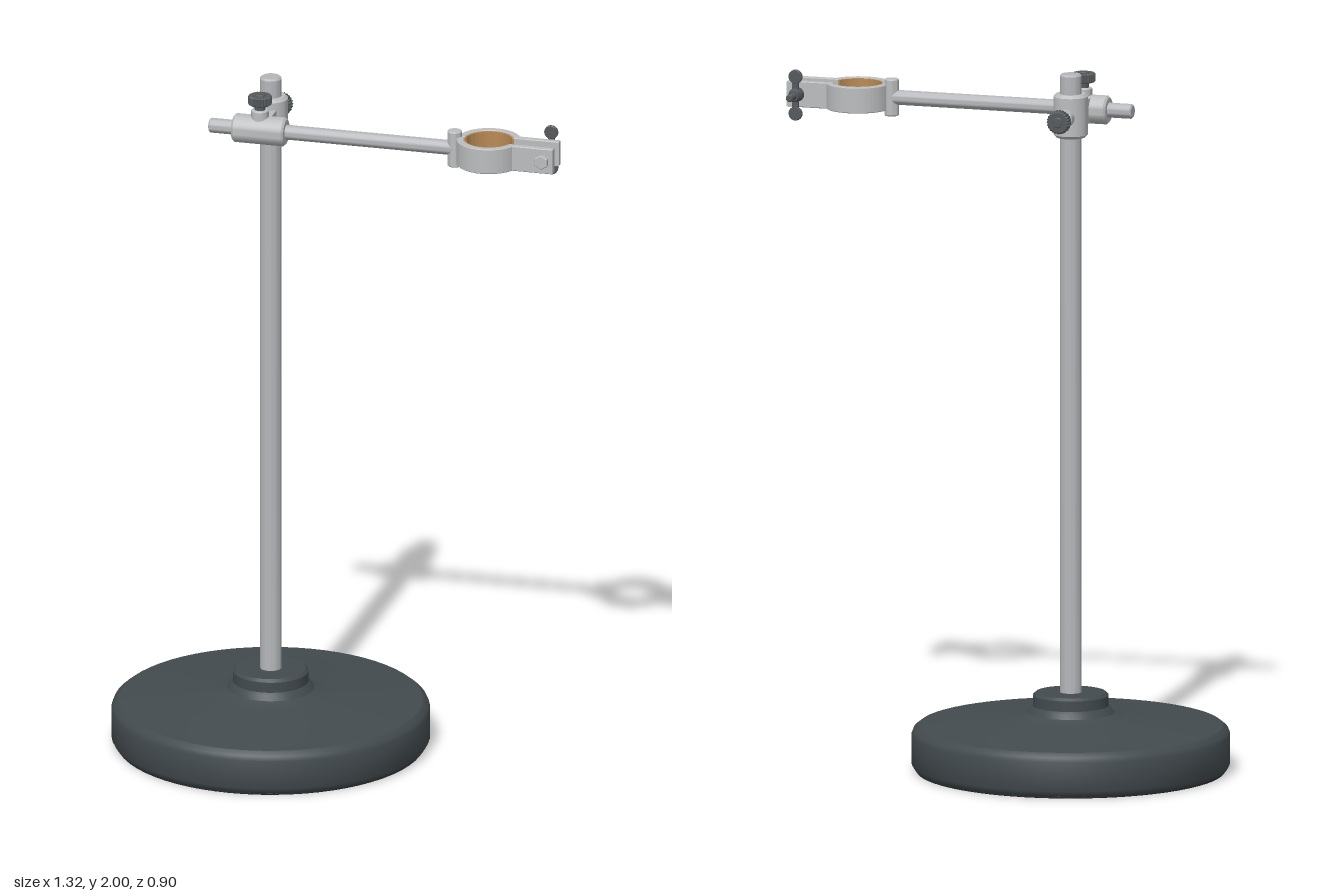
import * as THREE from 'three';
import { toCreasedNormals } from 'three/addons/utils/BufferGeometryUtils.js';

const paint = (name, color) => {
  const m = new THREE.MeshStandardMaterial({ color });
  m.name = name;
  return m;
};

export function createModel() {
  const model = new THREE.Group();
  model.name = 'clampStand';

  const iron = paint('dark iron', 0x434b4f);
  const rubber = paint('black rubber', 0x26282a);
  const steel = paint('steel', 0xb4b6b9);
  const cast = paint('cast metal', 0xbcbdbe);
  const dark = paint('dark screw', 0x565a5d);
  const cork = paint('cork', 0xb88a55);

  const POLE_X = -0.21, ARM_Y = 1.88, ARM_Z = 0.115, RING_X = 0.46, BOLT_X = 0.627;

  const add = (parent, name, geo, mat, x = 0, y = 0, z = 0) => {
    const mesh = new THREE.Mesh(toCreasedNormals(geo, 0.55), mat);
    mesh.name = name;
    mesh.position.set(x, y, z);
    parent.add(mesh);
    return mesh;
  };

  const lathe = (pts, seg = 32) =>
    new THREE.LatheGeometry(pts.map(([r, y]) => new THREE.Vector2(r, y)), seg);

  // Solid round bar from y = 0 to y = h with chamfered ends
  const bar = (r, h, c = 0.004, seg = 32) =>
    lathe([[0, 0], [r - c, 0], [r, c], [r, h - c], [r - c, h], [0, h]], seg);

  // Extrude an x/z outline upward, centred on y = 0
  const slab = (shape, h, bevel = 0.002) => {
    const g = new THREE.ExtrudeGeometry(shape, {
      depth: h - 2 * bevel, bevelEnabled: true, bevelThickness: bevel,
      bevelSize: bevel, bevelOffset: -bevel, bevelSegments: 1, curveSegments: 32,
    });
    return g.translate(0, 0, -h / 2 + bevel).rotateX(-Math.PI / 2);
  };

  // Weighted base
  add(model, 'base', lathe([
    [0, 0.004], [0.435, 0.004], [0.442, 0.008], [0.45, 0.022], [0.45, 0.105], [0.445, 0.118], [0.43, 0.13],
    [0.17, 0.153], [0.14, 0.158], [0.122, 0.167], [0.114, 0.18], [0.107, 0.187], [0.107, 0.217],
    [0.099, 0.225], [0, 0.225],
  ], 64), iron, POLE_X);
  add(model, 'basePad', bar(0.437, 0.006, 0.001, 64), rubber, POLE_X);

  // Upright pole
  add(model, 'pole', bar(0.031, 1.79, 0.005), steel, POLE_X, 0.21);

  // Boss head joining pole and arm
  const boss = new THREE.Group();
  boss.name = 'bossHead';
  boss.position.set(POLE_X, ARM_Y, 0);
  model.add(boss);
  add(boss, 'poleCollar', bar(0.049, 0.125, 0.008), cast, 0, -0.061);
  add(boss, 'bridge', new THREE.BoxGeometry(0.056, 0.07, 0.09), cast, 0, 0, 0.06);
  add(boss, 'armSleeve', bar(0.041, 0.153, 0.006).rotateZ(-Math.PI / 2), cast, -0.076, 0, ARM_Z);

  // Thumbscrew along +y: seat, threaded stem and knurled head
  const thumbscrew = (name, stemLength) => {
    const g = new THREE.Group();
    g.name = name;
    add(g, 'screwSeat', bar(0.025, 0.032, 0.003, 24), cast, 0, -0.01);
    add(g, 'screwStem', bar(0.015, stemLength + 0.03, 0.002, 20), dark);
    const knurl = new THREE.Shape();
    for (let i = 0; i < 48; i++) {
      const a = (i / 48) * Math.PI * 2, r = i % 2 ? 0.031 : 0.034;
      knurl[i ? 'lineTo' : 'moveTo'](r * Math.cos(a), r * Math.sin(a));
    }
    add(g, 'screwHead', slab(knurl, 0.027, 0.003), dark, 0, stemLength + 0.013);
    boss.add(g);
    return g;
  };
  thumbscrew('armThumbscrew', 0.038).position.set(0, 0.039, ARM_Z);
  const poleScrew = thumbscrew('poleThumbscrew', 0.047);
  poleScrew.position.z = -0.046;
  poleScrew.rotation.x = -Math.PI / 2;

  // Horizontal arm
  add(model, 'arm', bar(0.021, 0.72, 0.004).rotateZ(-Math.PI / 2), steel, -0.357, ARM_Y, ARM_Z);

  // Ring clamp with two mirrored jaws
  const clamp = new THREE.Group();
  clamp.name = 'ringClamp';
  clamp.position.set(RING_X, ARM_Y, ARM_Z);
  model.add(clamp);
  add(clamp, 'hingePin', bar(0.021, 0.106, 0.003, 24), cast, -0.1, -0.053);

  const jawShape = () => {
    const R = 0.091, r = 0.071, inner = 0.024, outer = 0.043;
    const s = new THREE.Shape();
    s.moveTo(Math.sqrt(r * r - inner * inner), inner);
    s.lineTo(0.198, inner);
    s.lineTo(0.198, outer);
    s.lineTo(Math.sqrt(R * R - outer * outer), outer);
    s.absarc(0, 0, R, Math.asin(outer / R), Math.PI - 0.02, false);
    s.absarc(0, 0, r, Math.PI - 0.03, Math.asin(inner / r), true);
    return s;
  };
  const liningShape = () => {
    const s = new THREE.Shape();
    s.absarc(0, 0, 0.0715, 0.36, Math.PI - 0.05, false);
    s.absarc(0, 0, 0.066, Math.PI - 0.05, 0.36, true);
    return s;
  };
  for (const [side, turn] of [['back', 0], ['front', Math.PI]]) {
    // Turning about x mirrors the jaw because it is symmetric in y
    add(clamp, side + 'Jaw', slab(jawShape(), 0.074), cast).rotation.x = turn;
    add(clamp, side + 'CorkLining', slab(liningShape(), 0.07, 0.0005), cork).rotation.x = turn;
  }

  // Clamp bolt, hex head and wing nut
  const bolt = new THREE.Group();
  bolt.name = 'clampBolt';
  bolt.position.set(BOLT_X, ARM_Y, 0);
  model.add(bolt);
  const thread = [[0, 0], [0.008, 0]];
  for (let i = 0; i < 11; i++) thread.push([0.011, 0.004 + i * 0.0145], [0.009, 0.0113 + i * 0.0145]);
  thread.push([0, 0.162]);
  add(bolt, 'threadedShank', lathe(thread, 16).rotateX(Math.PI / 2), dark);
  add(bolt, 'hexHead', bar(0.021, 0.015, 0.002, 6).rotateX(Math.PI / 2), cast, 0, 0, 0.157);
  add(bolt, 'wingNutHub', lathe([[0, 0], [0.014, 0], [0.019, 0.01], [0.021, 0.033], [0, 0.033]], 24)
    .rotateX(Math.PI / 2), dark, 0, 0, 0.04);
  for (const s of [-1, 1]) {
    add(bolt, 'wingLobe', bar(0.02, 0.01, 0.002, 24).rotateX(Math.PI / 2), dark, 0, s * 0.053, 0.053);
    add(bolt, 'wingWeb', new THREE.BoxGeometry(0.018, 0.04, 0.009), dark, 0, s * 0.03, 0.058);
  }

  return model;
}
